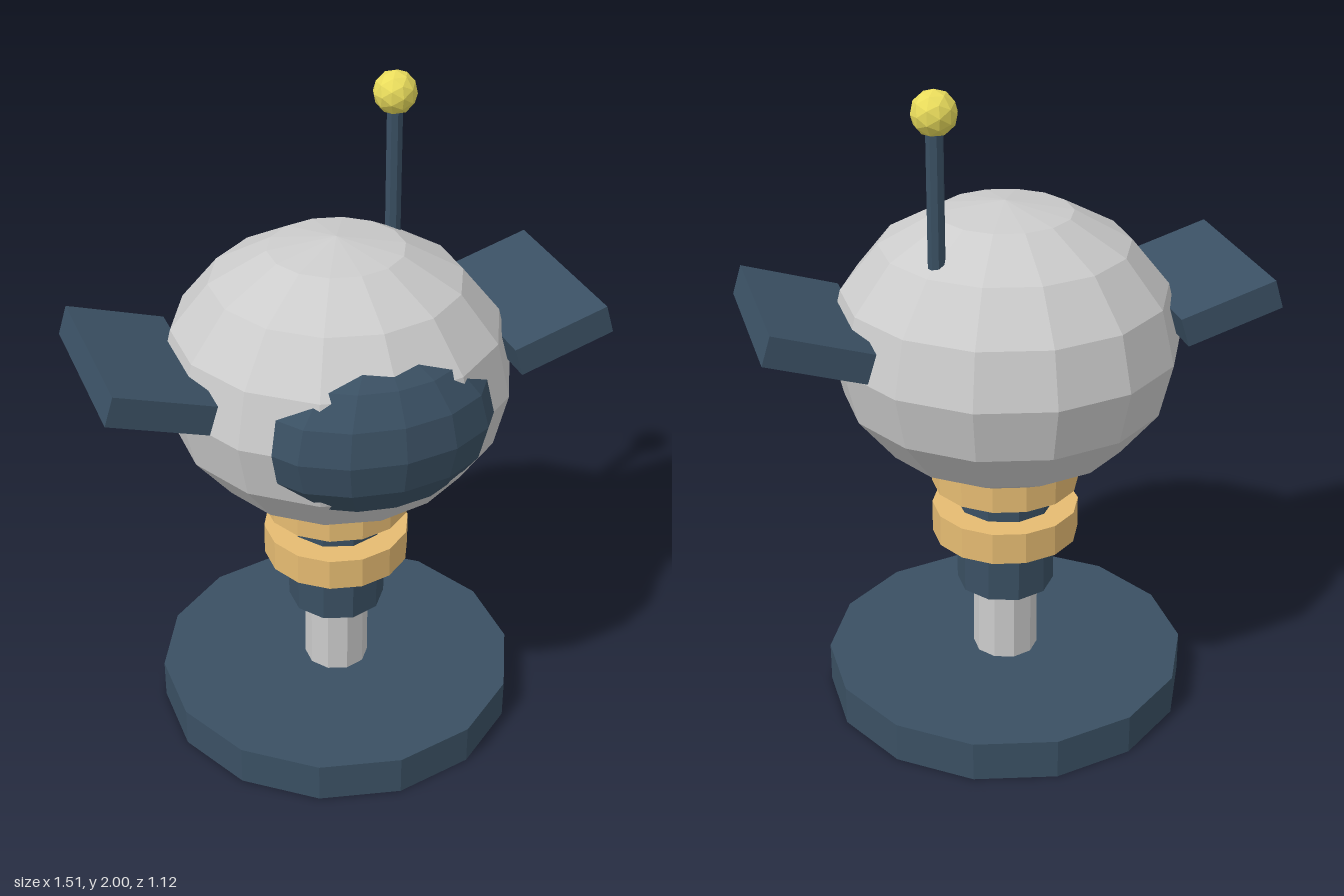
import * as THREE from 'three';

export function createModel() {
  const model = new THREE.Group();
  const paint = (color) => new THREE.MeshStandardMaterial({ color, flatShading: true });
  const grey = paint(0xcccccc);
  const slate = paint(0x3a5063);
  const gold = paint(0xe5bb72);
  const yellow = paint(0xe9dc5c);

  const add = (name, geometry, material, x, y, z) => {
    const mesh = new THREE.Mesh(geometry, material);
    mesh.name = name;
    mesh.position.set(x, y, z);
    model.add(mesh);
    return mesh;
  };
  // Upright cylinder given by its bottom and top heights
  const post = (name, radius, bottom, top, sides, material, x = 0, z = 0) =>
    add(name, new THREE.CylinderGeometry(radius, radius, top - bottom, sides), material, x, (bottom + top) / 2, z);
  // Faceted ellipsoid with a vertex column facing the front
  const ellipsoid = (name, rx, ry, rz, material, y, z) =>
    add(name, new THREE.SphereGeometry(1, 14, 8).rotateY(Math.PI / 2).scale(rx, ry, rz), material, 0, y, z);

  // Stand and neck
  post('base', 0.56, 0, 0.125, 14, slate);
  post('column', 0.1, 0.125, 0.4, 10, grey);
  post('neckSleeve', 0.15, 0.365, 0.82, 10, slate);
  post('lowerCollar', 0.225, 0.54, 0.64, 14, gold);
  post('upperCollar', 0.225, 0.715, 0.8, 14, gold);

  // Head and visor
  ellipsoid('head', 0.52, 0.43, 0.52, grey, 1.18, 0);
  ellipsoid('visor', 0.36, 0.265, 0.25, slate, 1.18, 0.3);

  // Tilted side fins
  for (const side of [1, -1]) {
    const fin = add(side > 0 ? 'leftFin' : 'rightFin', new THREE.BoxGeometry(0.3, 0.09, 0.55), slate, side * 0.6, 1.3, 0);
    fin.rotation.z = side * 0.3;
  }

  // Antenna
  post('antennaRod', 0.025, 1.45, 1.91, 8, slate, 0.25, -0.19);
  add('antennaBall', new THREE.IcosahedronGeometry(0.065, 1), yellow, 0.25, 1.935, -0.19);

  return model;
}
